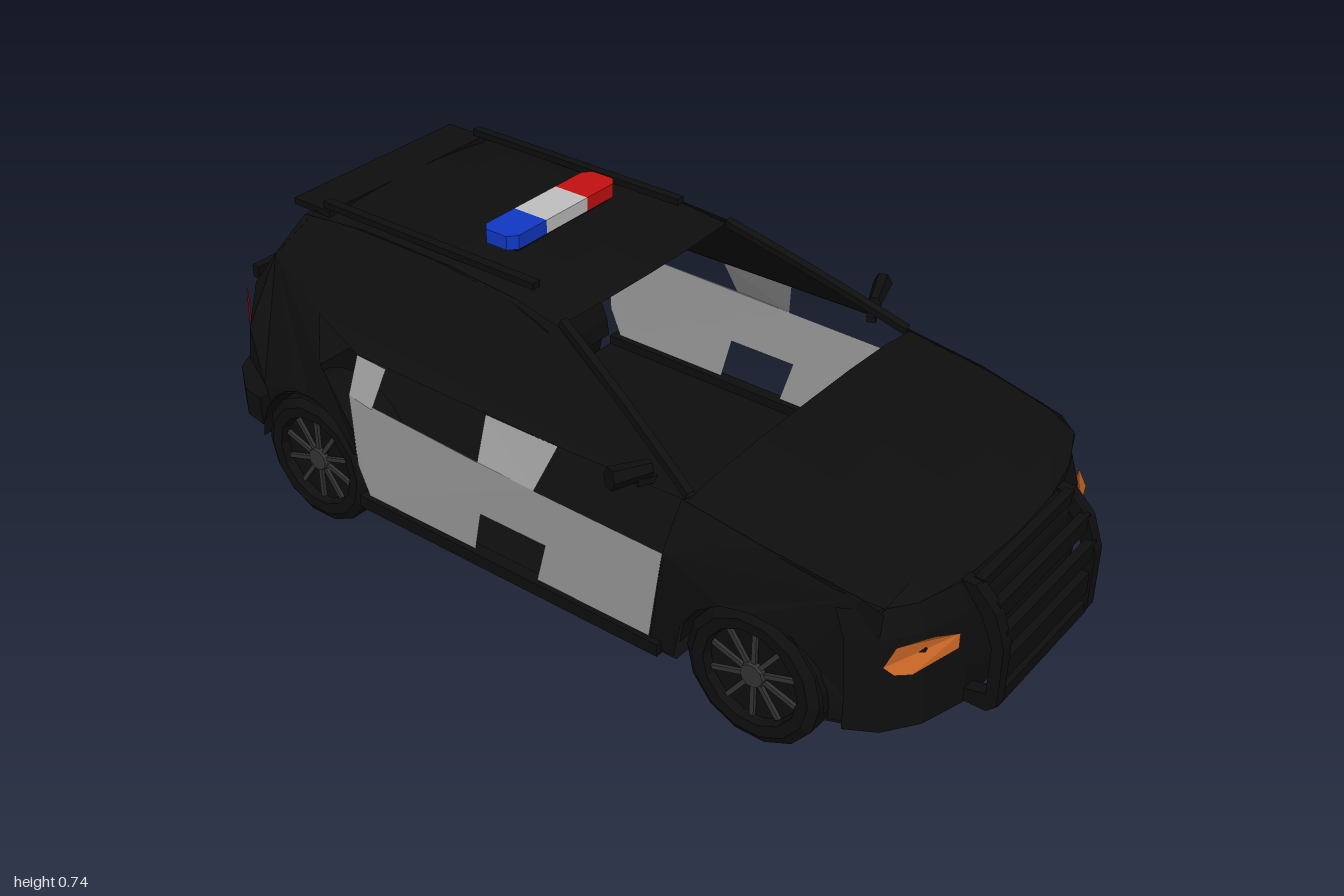
import * as THREE from 'three';

const mat = (name, color) => new THREE.MeshStandardMaterial({ name, color, flatShading: true, side: THREE.DoubleSide });
const black = mat('black', 0x0e0e0e), grey = mat('door grey', 0x9b9b9b), white = mat('lamp white', 0xc0c0c0);
const red = mat('red', 0xc41010), blue = mat('blue', 0x1038c4), orange = mat('orange', 0xd06a28), rim = mat('rim grey', 0x333333);

// linear lookup in a small table of [key, value] with rising keys
function lookup(t, k) {
  if (k <= t[0][0]) return t[0][1];
  for (let i = 1; i < t.length; i++) {
    const [a, va] = t[i - 1], [b, vb] = t[i];
    if (k <= b) return va + (vb - va) * (k - a) / (b - a);
  }
  return t[t.length - 1][1];
}
const PLAN = [[-1, 0.1], [-0.95, 0.27], [-0.88, 0.35], [-0.8, 0.41], [-0.55, 0.425], [-0.42, 0.45], [0.4, 0.45],
  [0.6, 0.435], [0.78, 0.41], [0.85, 0.37], [0.9, 0.3], [0.94, 0.2]];
const SECTION = [[0.12, 0.97], [0.39, 1], [0.48, 0.905], [0.66, 0.655], [0.7, 0.58]];
const NOSE = [[0, 0.94], [0.2, 0.93], [0.3, 0.9], [0.37, 0.85], [0.41, 0.78]];
const halfWidth = (z, y) => lookup(PLAN, z) * lookup(SECTION, y);
const nose = x => lookup(NOSE, Math.abs(x));

const arc = (z, y, r, from, to, n = 8) => Array.from({ length: n + 1 }, (_, i) => {
  const a = (from + (to - from) * i / n) * Math.PI / 180;
  return [z + r * Math.cos(a), y + r * Math.sin(a)];
});

export function createModel() {
  const car = new THREE.Group();
  car.name = 'patrolCar';
  const add = (name, geo, m, x = 0, y = 0, z = 0, parent = car) => {
    const mesh = new THREE.Mesh(geo, m);
    mesh.name = name;
    mesh.position.set(x, y, z);
    parent.add(mesh);
    return mesh;
  };
  const box = (name, m, w, h, d, x, y, z, parent) => add(name, new THREE.BoxGeometry(w, h, d), m, x, y, z, parent);

  // flat outline moved on to the body by a rule, then mirrored
  const bend = (name, pts, m, rule) => {
    for (const s of [1, -1]) {
      const geo = new THREE.ShapeGeometry(new THREE.Shape(pts.map(p => new THREE.Vector2(...p))));
      const pos = geo.attributes.position;
      for (let i = 0; i < pos.count; i++) {
        const [x, y, z] = rule(pos.getX(i), pos.getY(i));
        pos.setXYZ(i, s * x, y, z);
      }
      geo.computeVertexNormals();
      add(name + (s > 0 ? 'Left' : 'Right'), geo, m);
    }
  };
  const side = (name, pts, m) => bend(name, pts, m, (z, y) => [halfWidth(z, y), y, z]);

  // sheet through rows of points
  const sheet = (name, rows, m) => {
    const n = rows[0].length, index = [];
    for (let r = 0; r < rows.length - 1; r++) for (let c = 0; c < n - 1; c++) {
      const a = r * n + c;
      index.push(a, a + n, a + 1, a + 1, a + n, a + n + 1);
    }
    const geo = new THREE.BufferGeometry();
    geo.setAttribute('position', new THREE.Float32BufferAttribute(rows.flat(2), 3));
    geo.setIndex(index);
    geo.computeVertexNormals();
    return add(name, geo, m);
  };
  const across = [-1, -0.75, -0.4, 0, 0.4, 0.75, 1];

  // doors and grey belt panels
  side('doors', [[0.4, 0.38], [0.36, 0.15], [0.07, 0.15], [0.1, 0.255], [-0.075, 0.255], [-0.1, 0.15], [-0.41, 0.15],
    [-0.44, 0.22], [-0.445, 0.4], [-0.07, 0.39], [0.08, 0.385]], grey);
  side('middleBeltPanel', [[0.11, 0.48], [0.08, 0.385], [-0.07, 0.39], [-0.08, 0.48]], grey);
  side('rearBeltPanel', [[-0.36, 0.48], [-0.37, 0.395], [-0.445, 0.4], [-0.45, 0.48]], grey);

  // fenders, side glass and rear quarters
  side('frontFender', [[0.41, 0.485], [0.6, 0.46], [0.8, 0.425], [0.84, 0.4], [0.83, 0.25], [0.83, 0.13], [0.755, 0.13],
    ...arc(0.59, 0.155, 0.165, 0, 180), [0.42, 0.13], [0.36, 0.13], [0.4, 0.38]], black);
  side('sideGlass', [[0.42, 0.485], [0.22, 0.58], [0.02, 0.665], [-0.1, 0.68], [-0.3, 0.69], [-0.55, 0.685], [-0.73, 0.67],
    [-0.78, 0.58], [-0.83, 0.5], [-0.8, 0.42], [-0.82, 0.33], [-0.76, 0.29], ...arc(-0.6, 0.155, 0.17, 30, 150).reverse(),
    [-0.44, 0.25], [-0.44, 0.31], [-0.56, 0.42], [-0.58, 0.47], [-0.6, 0.51], [-0.45, 0.48], [0.1, 0.48]], black);

  // roof, hood, nose
  const ROOF = [[-0.76, 0.685], [-0.55, 0.7], [-0.3, 0.707], [-0.1, 0.695], [0.03, 0.668]];
  sheet('roof', ROOF.map(([z, y]) => across.map(u =>
    [u * halfWidth(z, y - 0.018), y - 0.018 * u * u, z - 0.03 * u * u * (z < -0.7 ? -1 : 1)])), black);
  const HOOD = [[0.42, 0.5], [0.6, 0.475], [0.75, 0.45], [0.84, 0.43]];
  const hoodRows = HOOD.map(([z, y]) => across.map(u => [u * halfWidth(z, y - 0.015), y - 0.02 * u ** 4, z]));
  hoodRows.push(across.map(u => [u * 0.36, 0.4 - 0.01 * u * u, nose(u * 0.36) - 0.03]));
  sheet('hood', hoodRows, black);
  const noseX = [-0.405, -0.37, -0.3, -0.2, 0, 0.2, 0.3, 0.37, 0.405];
  sheet('nose', [[0.4, -0.03], [0.34, -0.01], [0.2, 0], [0.125, 0]].map(([y, d]) =>
    noseX.map(x => [x, y, nose(x) + d])), black);

  // tailgate in two parts, with a narrow slit under the glass
  const gateRow = ([y, z, w]) => across.map(u => [u * w, y, z + 0.06 * u * u]);
  sheet('tailgateGlass', [[0.685, -0.755, 0.27], [0.6, -0.82, 0.31], [0.52, -0.88, 0.33]].map(gateRow), black);
  sheet('tailgate', [[0.5, -0.89, 0.33], [0.4, -0.94, 0.31], [0.25, -0.97, 0.3]].map(gateRow), black);
  for (const s of [-1, 1]) box('tailgateSlitEnd', black, 0.12, 0.03, 0.02, s * 0.26, 0.51, -0.85);
  box('spoiler', black, 0.5, 0.015, 0.11, 0, 0.683, -0.72);

  // floor with wheel notches
  const floorHalf = [[0.2, 0.93], [0.3, 0.9], [0.37, 0.85], [0.41, 0.75], [0.28, 0.75], [0.28, 0.43], [0.44, 0.43],
    [0.44, -0.43], [0.28, -0.43], [0.28, -0.77], [0.3, -0.78]];
  const floor = [...floorHalf, ...floorHalf.map(([x, z]) => [-x, z]).reverse()];
  add('floor', new THREE.ShapeGeometry(new THREE.Shape(floor.map(p => new THREE.Vector2(...p)))).rotateX(Math.PI / 2), black, 0, 0.13);

  // rear bumper
  const bumperHalf = [[0.41, -0.78], [0.4, -0.84], [0.34, -0.92], [0.24, -0.97], [0.08, -0.998]];
  const bumper = new THREE.Shape([...bumperHalf, ...bumperHalf.map(([x, z]) => [-x, z]).reverse()].map(p => new THREE.Vector2(...p)));
  add('rearBumper', new THREE.ExtrudeGeometry(bumper, { depth: 0.07, bevelEnabled: false }).rotateX(Math.PI / 2), black, 0, 0.245);

  // push bar
  const barProfile = new THREE.Shape([[0.9, 0.405], [0.93, 0.405], [0.975, 0.36], [1, 0.29], [1, 0.15], [0.98, 0.13],
    [0.93, 0.13], [0.93, 0.16], [0.975, 0.17], [0.975, 0.28], [0.95, 0.34]].map(p => new THREE.Vector2(...p)));
  for (const s of [-1, 1]) {
    const geo = new THREE.ExtrudeGeometry(barProfile, { depth: 0.03, bevelEnabled: false }).rotateY(-Math.PI / 2);
    add('pushBarUpright', geo, black, s * 0.185 + 0.015);
  }
  for (const [y, z, h] of [[0.395, 0.925, 0.025], [0.35, 0.965, 0.04], [0.295, 0.985, 0.04], [0.215, 0.985, 0.05], [0.15, 0.985, 0.03]])
    box('pushBarRail', black, 0.36, h, 0.02, 0, y, z);

  // lamps
  bend('headlight', [[0.235, 0.315], [0.235, 0.28], [0.33, 0.258], [0.36, 0.265], [0.375, 0.285], [0.36, 0.33], [0.3, 0.34]],
    orange, (x, y) => [x, y, nose(x) + 0.008]);
  bend('taillight', [[-0.86, 0.48], [-0.81, 0.37], [-0.885, 0.355], [-0.9, 0.43]], red,
    (z, y) => [0.305 + (z + 0.9) * 0.9, y, z - 0.005]);

  // light bar
  const bar = (name, m, pts) => add(name, new THREE.ExtrudeGeometry(new THREE.Shape(pts.map(p => new THREE.Vector2(...p))),
    { depth: 0.032, bevelEnabled: false }).rotateX(Math.PI / 2), m, 0, 0.742, -0.245);
  const end = s => [[s * 0.067, -0.045], [s * 0.155, -0.045], [s * 0.175, -0.028], [s * 0.175, 0.028], [s * 0.155, 0.045], [s * 0.067, 0.045]];
  bar('lightBarBlue', blue, end(-1));
  bar('lightBarRed', red, end(1));
  bar('lightBarCentre', white, [[-0.067, -0.045], [0.067, -0.045], [0.067, 0.045], [-0.067, 0.045]]);
  box('lightBarBase', black, 0.3, 0.012, 0.07, 0, 0.706, -0.245);

  // sills, roof rails, mirrors, pillars and wheels on both sides
  const tyre = [[0.1, -0.062], [0.14, -0.062], [0.155, -0.045], [0.155, 0.05], [0.135, 0.062], [0.11, 0.06], [0.105, 0.04], [0, 0.035]];
  for (const s of [-1, 1]) {
    box('sill', black, 0.03, 0.03, 0.82, s * 0.436, 0.137, -0.02);
    box('roofRail', black, 0.022, 0.015, 0.6, s * 0.24, 0.703, -0.38);
    const pillar = new THREE.CatmullRomCurve3([[0.42, 0.49], [0.22, 0.585], [0.02, 0.67]].map(([z, y]) =>
      new THREE.Vector3(s * (halfWidth(z, y) - 0.01), y, z)));
    add('windscreenPillar', new THREE.TubeGeometry(pillar, 4, 0.013, 5), black);

    const mirror = new THREE.Group();
    mirror.name = 'mirror';
    mirror.position.set(s * 0.44, 0.522, 0.315);
    mirror.rotation.set(0, s * 0.35, s * 0.08);
    car.add(mirror);
    const shell = new THREE.CylinderGeometry(0.03, 0.022, 0.09, 6).rotateZ(-s * Math.PI / 2);
    add('mirrorShell', shell.scale(1, 0.85, 0.7), black, 0, 0, 0, mirror);
    box('mirrorArm', black, 0.06, 0.015, 0.02, -s * 0.045, -0.022, 0, mirror);

    for (const z of [0.59, -0.6]) {
      const wheel = new THREE.Group();
      wheel.name = z > 0 ? 'frontWheel' : 'rearWheel';
      wheel.position.set(s * 0.362, 0.155, z);
      wheel.rotation.z = -s * Math.PI / 2;
      car.add(wheel);
      add('tyre', new THREE.LatheGeometry(tyre.map(p => new THREE.Vector2(...p)), 14), black, 0, 0, 0, wheel);
      add('innerFace', new THREE.CircleGeometry(0.12, 14).rotateX(Math.PI / 2), black, 0, -0.06, 0, wheel);
      add('hub', new THREE.CylinderGeometry(0.026, 0.03, 0.012, 10), rim, 0, 0.048, 0, wheel);
      for (let i = 0; i < 10; i++) {
        const spoke = box('spoke', rim, 0.085, 0.008, 0.01, 0, 0.044, 0, wheel);
        const a = i * Math.PI / 5;
        spoke.position.set(0.06 * Math.cos(a), 0.044, -0.06 * Math.sin(a));
        spoke.rotation.y = a;
      }
      // wheel well lining
      const well = new THREE.CylinderGeometry(0.168, 0.168, 0.14, 12, 1, true, 0, Math.PI).rotateZ(Math.PI / 2);
      well.rotateX(well.attributes.position.getY(6) > 0 ? 0 : Math.PI);
      add('wheelWell', well, black, s * 0.35, 0.155, z);
    }
  }
  return car;
}
